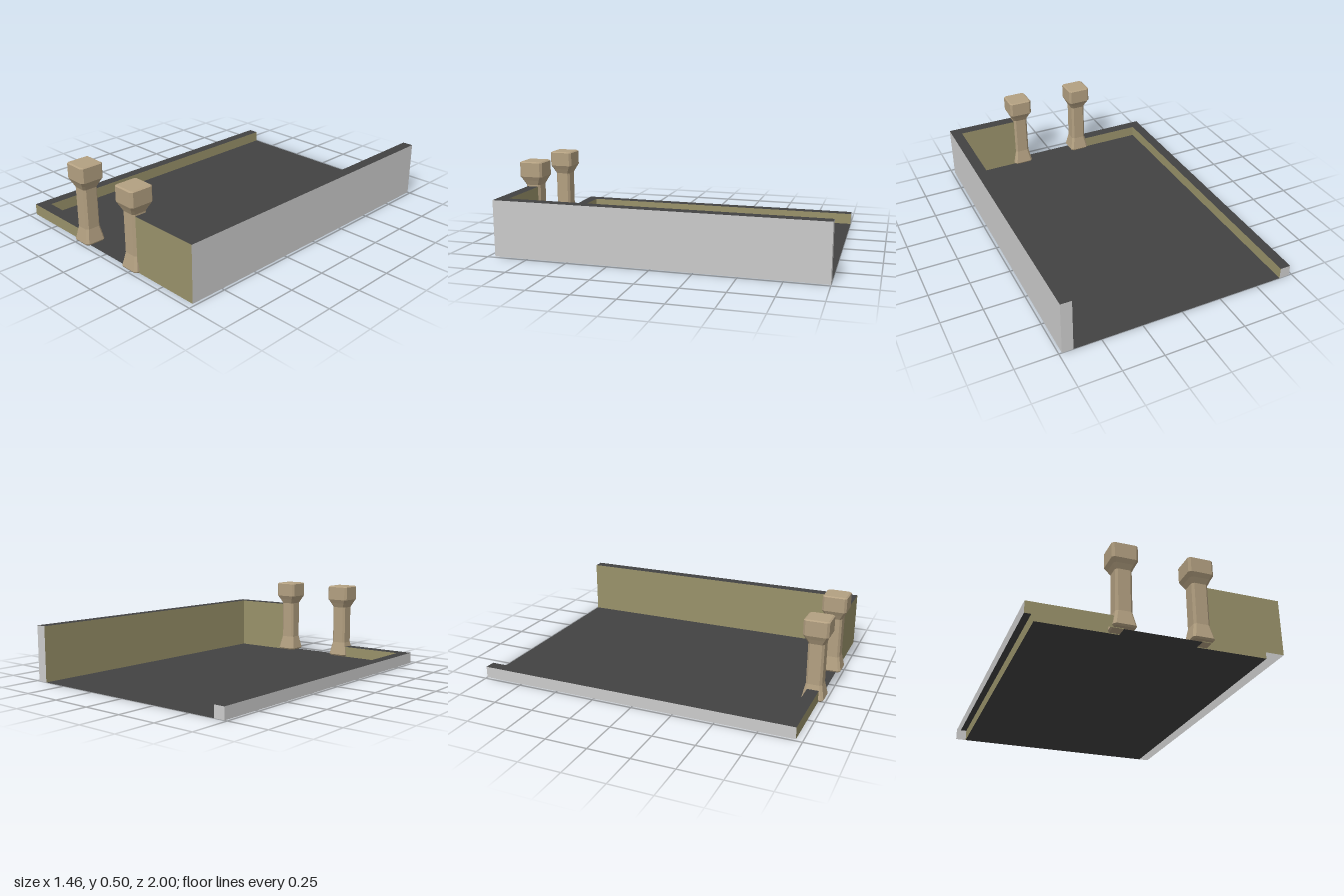
import * as THREE from 'three';

const mat = (color) => new THREE.MeshStandardMaterial({ color, side: THREE.DoubleSide, flatShading: true });

const OUT = 0.732, IN = 0.665;             // outer and inner wall faces in x
const BACK = -1, FRONT = 0.96, INNER = 0.89; // wall limits in z
const POST_Z = 0.925;

// Flat mesh made of four-cornered panels, corners listed counter-clockwise
function panels(name, material, quads) {
  const pos = [];
  for (const [a, b, c, d] of quads) pos.push(...a, ...b, ...c, ...a, ...c, ...d);
  const geo = new THREE.BufferGeometry();
  geo.setAttribute('position', new THREE.Float32BufferAttribute(pos, 3));
  geo.computeVertexNormals();
  const mesh = new THREE.Mesh(geo, material);
  mesh.name = name;
  return mesh;
}

// L-shaped hollow wall along one side (s = +1 or -1), turning in to a gate post
function wall(name, s, h, end, mats) {
  const g = new THREE.Group();
  g.name = name;
  const o = s * OUT, i = s * IN;
  // Vertical panel between two ground points, facing outward for either side
  const upright = ([x0, z0], [x1, z1]) => {
    const q = [[x0, 0, z0], [x1, 0, z1], [x1, h, z1], [x0, h, z0]];
    return s > 0 ? q : q.reverse();
  };
  const flat = (pts) => {
    const q = pts.map(([x, z]) => [x, h, z]);
    return s > 0 ? q : q.reverse();
  };
  g.add(
    panels('wallOuterSide', mats.grey, [
      upright([o, FRONT], [o, BACK]),
      upright([o, BACK], [i, BACK]),
    ]),
    panels('wallFace', mats.olive, [
      upright([end, FRONT], [o, FRONT]),
      upright([i, BACK], [i, INNER]),
      upright([i, INNER], [end, INNER]),
    ]),
    panels('wallTop', mats.dark, [
      flat([[o, FRONT], [o, BACK], [i, BACK], [i, INNER]]),
      flat([[end, FRONT], [o, FRONT], [i, INNER], [end, INNER]]),
    ]),
  );
  return g;
}

// Post from stacked square sections with chamfered corners: [y, half width, chamfer]
function postGeometry() {
  const sections = [
    [0.004, 0.058, 0.011], [0.014, 0.065, 0.013], [0.1, 0.048, 0.013],
    [0.35, 0.048, 0.013], [0.38, 0.062, 0.013], [0.405, 0.075, 0.013],
    [0.494, 0.075, 0.013], [0.5, 0.066, 0.008],
  ];
  const pos = [], idx = [];
  for (const [y, w, c] of sections) {
    const k = w - c;
    for (const [x, z] of [[w, -k], [w, k], [k, w], [-k, w], [-w, k], [-w, -k], [-k, -w], [k, -w]]) pos.push(x, y, z);
  }
  for (let r = 0; r < sections.length - 1; r++) {
    for (let j = 0; j < 8; j++) {
      const a = r * 8 + j, b = r * 8 + (j + 1) % 8;
      idx.push(a, a + 8, b, b, a + 8, b + 8);
    }
  }
  // Bottom and top caps
  const t = (sections.length - 1) * 8;
  for (let j = 1; j < 7; j++) {
    idx.push(0, j, j + 1);
    idx.push(t, t + j + 1, t + j);
  }
  const geo = new THREE.BufferGeometry();
  geo.setAttribute('position', new THREE.Float32BufferAttribute(pos, 3));
  geo.setIndex(idx);
  const flatGeo = geo.toNonIndexed();
  flatGeo.computeVertexNormals();
  return flatGeo;
}

export function createModel() {
  const model = new THREE.Group();
  model.name = 'walledYard';
  const mats = { grey: mat(0xcccccc), olive: mat(0x99926a), dark: mat(0x424242) };
  const stone = mat(0xb3a081);
  const postX = { right: -0.205, left: 0.24 };

  // Ground and the threshold between the posts
  const ground = (x0, x1, z0, z1) => [[x0, 0, z1], [x1, 0, z1], [x1, 0, z0], [x0, 0, z0]];
  model.add(panels('ground', mats.dark, [ground(-IN, IN, BACK, INNER)]));
  model.add(panels('threshold', mats.dark, [ground(postX.right, postX.left, INNER, FRONT)]));

  // High wall on the left, low kerb on the right
  model.add(wall('highWall', 1, 0.34, postX.left, mats));
  model.add(wall('lowWall', -1, 0.07, postX.right, mats));

  // Gate posts
  const geo = postGeometry();
  for (const [side, x] of Object.entries(postX)) {
    const post = new THREE.Mesh(geo, stone);
    post.name = side + 'GatePost';
    post.position.set(x, 0, POST_Z);
    model.add(post);
  }
  return model;
}
